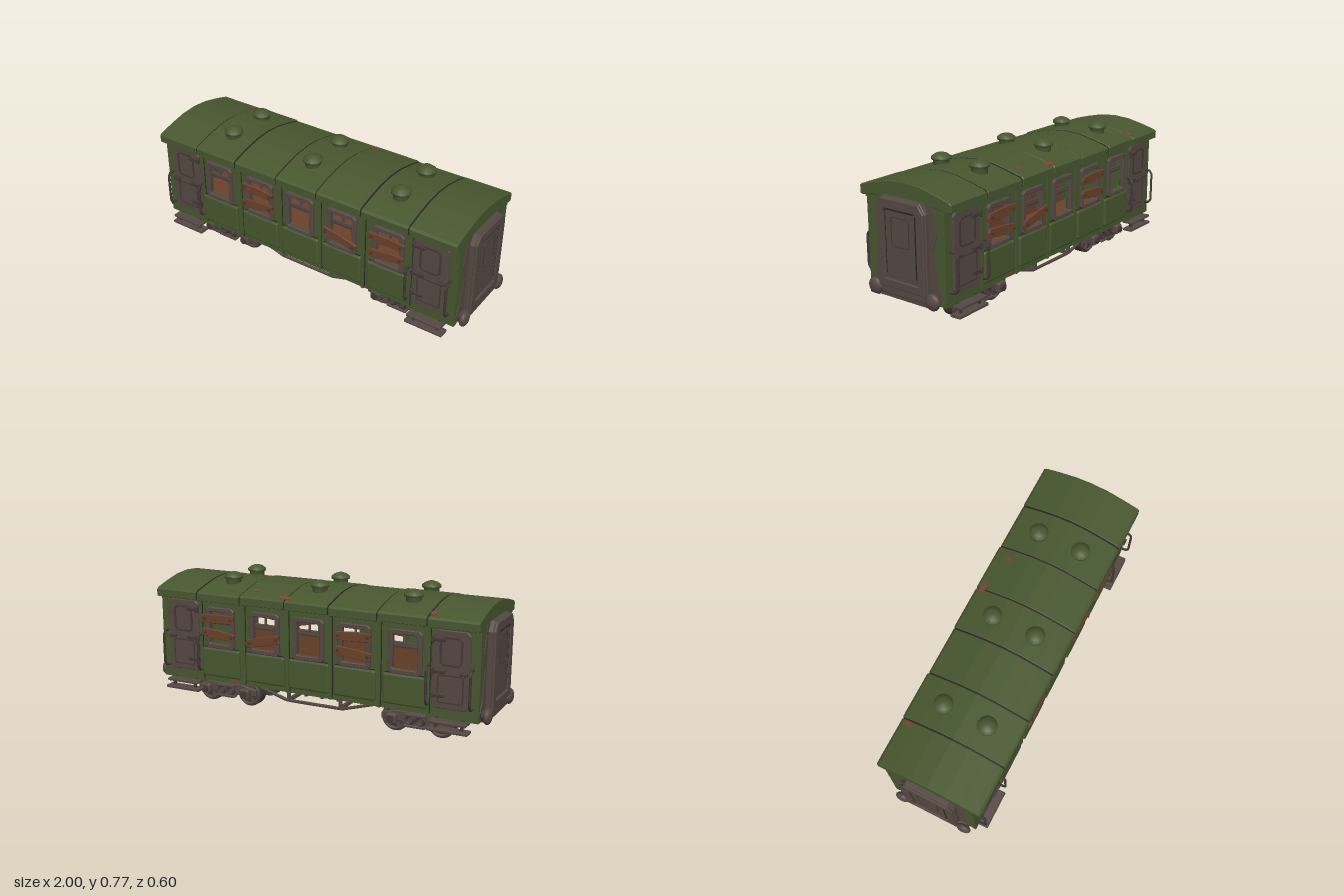
import * as THREE from 'three';
import { RoundedBoxGeometry } from 'three/addons/geometries/RoundedBoxGeometry.js';

const mat = (name, color) => {
  const m = new THREE.MeshStandardMaterial({ color });
  m.name = name;
  return m;
};

export function createModel() {
  const green = mat('green paint', 0x47572f);
  const iron = mat('brown iron', 0x554843);
  const dark = mat('dark iron', 0x433936);
  const ink = mat('dark seam', 0x27251d);
  const wood = mat('old wood', 0x6a4129);
  const rust = mat('rust', 0x7a4636);

  const add = (parent, name, geo, m, x = 0, y = 0, z = 0) => {
    const mesh = new THREE.Mesh(geo, m);
    mesh.name = name;
    mesh.position.set(x, y, z);
    parent.add(mesh);
    return mesh;
  };
  const box = (w, h, d) => new THREE.BoxGeometry(w, h, d);
  const round = (w, h, d, r = 0.008) => new RoundedBoxGeometry(w, h, d, 2, r);
  const cyl = (r, h, n = 12) => new THREE.CylinderGeometry(r, r, h, n).rotateX(Math.PI / 2);
  const tube = (pts, r) => {
    const path = new THREE.CurvePath();
    const v = pts.map(p => new THREE.Vector3(...p));
    for (let i = 1; i < v.length; i++) path.add(new THREE.LineCurve3(v[i - 1], v[i]));
    return new THREE.TubeGeometry(path, 24, r, 6);
  };
  const outline = pts => new THREE.Shape(pts.map(p => new THREE.Vector2(...p)));
  const slab = (shape, depth, bevel = 0) => new THREE.ExtrudeGeometry(shape, {
    depth, bevelEnabled: bevel > 0, bevelSize: bevel, bevelThickness: bevel, bevelSegments: 1, curveSegments: 6,
  });
  // rectangle with cut corners, c = corner size
  const rectPts = (cx, cy, w, h, c) => {
    const a = w / 2, b = h / 2;
    return [[-a + c, -b], [a - c, -b], [a, -b + c], [a, b - c], [a - c, b], [-a + c, b], [-a, b - c], [-a, -b + c]]
      .map(([x, y]) => [cx + x, cy + y]);
  };
  const frame = (w, h, t, c) => {
    const s = outline(rectPts(0, 0, w, h, c));
    s.holes.push(new THREE.Path(rectPts(0, 0, w - 2 * t, h - 2 * t, c * 0.5).map(p => new THREE.Vector2(...p))));
    return s;
  };

  const model = new THREE.Group();
  model.name = 'railwayCarriage';

  // Floor
  add(model, 'floor', box(1.88, 0.03, 0.48), green, 0, 0.172, 0);
  add(model, 'floorBoards', box(1.86, 0.006, 0.46), wood, 0, 0.191, 0);

  // Roof: seven arched segments with dark seams
  const arch = [[0, 0.73], [0.1, 0.722], [0.2, 0.7], [0.283, 0.677], [0.293, 0.668], [0.293, 0.634], [0.282, 0.63],
    [0.2, 0.642], [0.1, 0.648]];
  const roofShape = outline([...arch, ...arch.slice(1).reverse().map(([z, y]) => [-z, y])]);
  const cuts = [-0.955, -0.68, -0.41, -0.13, 0.13, 0.405, 0.685, 0.955];
  const wob = [0, 0.003, -0.002, 0.002, 0.003, -0.002, 0];
  for (let i = 0; i < 7; i++) {
    const len = cuts[i + 1] - cuts[i] - 0.006;
    const g = slab(roofShape, len - 0.008, 0.004).rotateY(Math.PI / 2);
    const seg = add(model, 'roofSegment', g, green, cuts[i] + 0.007, wob[i] - 0.003, 0);
    seg.scale.z = 0.985 + wob[i] * 2;
    if (i) {
      add(model, 'roofSeam', slab(roofShape, 0.008).rotateY(Math.PI / 2), ink, cuts[i] - 0.004, -0.001, 0).scale.z = 0.985;
    }
  }
  for (const [x, z, w, d] of [[0.14, -0.258, 0.08, 0.035], [0.34, -0.21, 0.03, 0.03], [-0.7, -0.245, 0.03, 0.05]]) {
    const p = add(model, 'roofRust', new THREE.CylinderGeometry(0.5, 0.5, 0.006, 7), rust, x, 0.7 - (-z - 0.2) * 0.27 + 0.002, z);
    p.scale.set(w, 1, d);
    p.rotation.x = -0.28;
  }

  // Roof vents
  const ventPts = [[0.042, 0.69], [0.042, 0.738], [0.052, 0.74], [0.053, 0.752], [0.034, 0.767], [0.014, 0.774], [0, 0.775]]
    .map(p => new THREE.Vector2(...p));
  for (const x of [-0.543, -0.003, 0.54]) {
    for (const z of [-0.126, 0.124]) add(model, 'roofVent', new THREE.LatheGeometry(ventPts, 14), green, x, 0, z);
  }

  // Long sides: windows as [x, boards as [y, tilt]]
  const windows = [[-0.555, []], [-0.27, [[0.527, -0.04], [0.437, 0.1]]], [0, []],
    [0.27, [[0.435, -0.22]]], [0.555, [[0.53, -0.03], [0.44, 0.1]]]];
  const plank = outline([[-0.105, -0.018], [-0.03, -0.023], [0.1, -0.021], [0.096, -0.004], [0.106, 0.018],
    [0.02, 0.023], [-0.1, 0.02], [-0.108, 0.002]]);
  for (const s of [1, -1]) {
    const side = new THREE.Group();
    side.name = s > 0 ? 'frontSide' : 'backSide';
    side.rotation.y = s > 0 ? 0 : Math.PI;
    model.add(side);

    const wall = outline([[-0.95, 0.15], [-0.68, 0.15], [-0.67, 0.16], [0.67, 0.16], [0.68, 0.15], [0.95, 0.15],
      [0.95, 0.65], [-0.95, 0.65]]);
    for (const [x] of windows) {
      wall.holes.push(new THREE.Path(rectPts(x * s, 0.475, 0.145, 0.195, 0.01).map(p => new THREE.Vector2(...p))));
    }
    add(side, 'sideWall', slab(wall, 0.02), green, 0, 0, 0.228);
    add(side, 'innerLining', box(1.38, 0.18, 0.006), wood, 0, 0.275, 0.226);
    add(side, 'topRail', box(1.9, 0.02, 0.012), green, 0, 0.628, 0.25);

    for (const [wx, boards] of windows) {
      const x = wx * s;
      add(side, 'windowFrame', slab(frame(0.18, 0.228, 0.019, 0.014), 0.022, 0.003), iron, x, 0.473, 0.24);
      add(side, 'windowBar', box(0.15, 0.013, 0.01), iron, x, 0.512, 0.24);
      add(side, 'windowBar', box(0.15, 0.006, 0.01), dark, x, 0.494, 0.238);
      add(side, 'windowBar', box(0.01, 0.06, 0.01), iron, x, 0.542, 0.238);
      add(side, 'lowerPanel', round(0.245, 0.165, 0.03, 0.012), green, x, 0.272, 0.25);
      add(side, 'panelShadowLine', box(0.23, 0.005, 0.004), ink, x, 0.357, 0.2485);
      for (const [y, tilt] of boards) {
        const b = add(side, 'board', slab(plank, 0.01, 0.002), wood, x, y, 0.27);
        b.rotation.z = tilt * s;
        for (const n of [-0.085, 0.085]) add(b, 'boardNail', cyl(0.009, 0.008, 6), dark, n, 0, 0.015);
      }
    }
    // Upright ribs between the bays
    for (const x of cuts.slice(1, 7)) {
      add(side, 'rib', box(0.016, 0.48, 0.012), green, x * s, 0.4, 0.251);
      add(side, 'ribSeam', box(0.005, 0.46, 0.003), ink, x * s + 0.01, 0.4, 0.248);
    }

    // Doors, handrails and steps
    for (const d of [1, -1]) {
      const x = 0.8 * d;
      add(side, 'sideDoor', slab(outline(rectPts(0, 0, 0.195, 0.4, 0.018)), 0.01, 0.003), iron, x, 0.41, 0.245);
      add(side, 'doorPaneFrame', slab(frame(0.12, 0.15, 0.01, 0.02), 0.006), dark, x, 0.505, 0.257);
      add(side, 'doorLowerFrame', slab(frame(0.14, 0.15, 0.007, 0.01), 0.003), dark, x, 0.31, 0.257);
      for (const y of [0.275, 0.4, 0.565]) {
        add(side, 'hinge', round(0.065, 0.02, 0.012, 0.004), dark, x - d * 0.062, y, 0.263);
        add(side, 'hingePin', round(0.016, 0.036, 0.016, 0.004), dark, x - d * 0.096, y, 0.263);
      }
      add(side, 'doorHandle', round(0.04, 0.016, 0.02, 0.004), dark, x + d * 0.07, 0.4, 0.268);
      for (const hx of [0.683, 0.915]) {
        add(side, 'handrail', tube([[hx * d, 0.425, 0.245], [hx * d, 0.425, 0.28], [hx * d, 0.405, 0.293],
          [hx * d, 0.245, 0.293], [hx * d, 0.225, 0.28], [hx * d, 0.22, 0.245]], 0.007), dark);
      }
      add(side, 'upperStep', round(0.2, 0.016, 0.072, 0.004), iron, x, 0.143, 0.26);
      add(side, 'lowerStep', round(0.22, 0.016, 0.06, 0.004), iron, x, 0.1, 0.266);
      for (const p of [-0.07, 0.07]) {
        add(side, 'stepPost', box(0.014, 0.04, 0.014), dark, x + p, 0.122, 0.266);
        add(side, 'stepBracket', box(0.014, 0.012, 0.1), dark, x + p, 0.152, 0.2);
      }
    }

    // Truss under the floor
    add(side, 'trussRod', tube([[-0.4, 0.16, 0.19], [-0.17, 0.093, 0.19], [0.17, 0.093, 0.19], [0.4, 0.16, 0.19]], 0.009), iron);
    for (const x of [-0.16, 0.16]) add(side, 'trussPost', box(0.016, 0.07, 0.016), iron, x, 0.126, 0.19);
  }
  add(model, 'wallRust', box(0.06, 0.025, 0.004), rust, 0.47, 0.182, -0.249);

  // Underfloor equipment
  add(model, 'equipmentBox', round(0.24, 0.06, 0.2), iron, 0, 0.132, 0);
  for (const x of [-0.1, 0, 0.1]) add(model, 'equipmentStrap', box(0.015, 0.064, 0.21), dark, x, 0.131, 0);
  for (const x of [-0.16, 0.16]) add(model, 'crossBeam', box(0.018, 0.018, 0.38), iron, x, 0.096, 0);

  // Carriage ends, built facing +z and turned outward
  for (const e of [1, -1]) {
    const end = new THREE.Group();
    end.name = e > 0 ? 'leftEnd' : 'rightEnd';
    end.rotation.y = e * Math.PI / 2;
    model.add(end);
    add(end, 'endWall', box(0.496, 0.5, 0.02), green, 0, 0.4, 0.938);
    const edge = [[0.2, 0.16], [0.235, 0.2], [0.2, 0.26], [0.19, 0.33], [0.175, 0.42], [0.2, 0.5], [0.18, 0.58], [0.17, 0.645]];
    add(end, 'wornEndPaint', slab(outline([...edge, ...edge.slice().reverse().map(([x, y]) => [-x, y])]), 0.004), iron, 0, 0, 0.948);
    const surround = (a, top, c, bottom) => outline([[-a, bottom], [a, bottom], [a, top - c], [a - c * 0.7, top], [-a + c * 0.7, top], [-a, top - c]]);
    add(end, 'gangwayPlate', slab(surround(0.148, 0.645, 0.045, 0.2), 0.022, 0.006), iron, 0, 0, 0.95);
    const rim = surround(0.148, 0.642, 0.04, 0.2);
    rim.holes.push(new THREE.Path(surround(0.108, 0.6, 0.02, 0.235).getPoints()));
    add(end, 'gangwayRim', slab(rim, 0.008, 0.004), iron, 0, 0, 0.98);
    add(end, 'endDoor', slab(outline(rectPts(0, 0.425, 0.185, 0.33, 0.004)), 0.006, 0.002), iron, 0, 0, 0.978);
    add(end, 'endDoorLine', box(0.19, 0.005, 0.004), ink, 0, 0.592, 0.986);
    for (const x of [-0.095, 0.095]) add(end, 'endDoorLine', box(0.004, 0.32, 0.004), ink, x, 0.43, 0.984);
    add(end, 'endDoorPane', slab(frame(0.118, 0.15, 0.005, 0.014), 0.004), dark, 0, 0.487, 0.985);
    // Buffers and beam
    add(end, 'bufferBeam', round(0.4, 0.055, 0.035, 0.01), iron, 0, 0.175, 0.955);
    add(end, 'headstock', box(0.34, 0.02, 0.1), iron, 0, 0.145, 0.92);
    for (const x of [-0.187, 0.187]) {
      add(end, 'bufferStem', cyl(0.025, 0.04), dark, x, 0.177, 0.96);
      const head = add(end, 'bufferHead', new THREE.SphereGeometry(0.043, 16, 10), iron, x, 0.177, 0.977);
      head.scale.z = 0.53;
    }
  }

  // Bogies
  const spring = new THREE.TorusGeometry(0.022, 0.008, 6, 12);
  for (const b of [-0.584, 0.58]) {
    const bogie = new THREE.Group();
    bogie.name = 'bogie';
    bogie.position.x = b;
    model.add(bogie);
    add(bogie, 'bolster', box(0.12, 0.05, 0.3), dark, 0, 0.13, 0);
    add(bogie, 'bogiePlate', box(0.42, 0.016, 0.32), iron, 0, 0.15, 0);
    add(bogie, 'centreBeam', box(0.3, 0.03, 0.08), dark, 0, 0.09, 0);
    for (const z of [-1, 1]) {
      add(bogie, 'sideFrame', slab(outline([[-0.19, 0.075], [-0.08, 0.075], [-0.05, 0.055], [0.05, 0.055], [0.08, 0.075], [0.19, 0.075],
        [0.19, 0.105], [0.1, 0.125], [-0.1, 0.125], [-0.19, 0.105]]), 0.016, 0.003), iron, 0, 0, z * 0.158 - 0.008);
      for (const x of [-0.03, 0.03]) add(bogie, 'spring', spring, dark, x, 0.088, z * 0.175);
      add(bogie, 'springCap', round(0.12, 0.016, 0.035, 0.004), iron, 0, 0.118, z * 0.174);
      add(bogie, 'springSeat', round(0.12, 0.014, 0.035, 0.004), iron, 0, 0.057, z * 0.174);
    }
    for (const x of [-0.13, 0.13]) {
      add(bogie, 'axle', cyl(0.02, 0.3), dark, x, 0.076, 0);
      for (const z of [-1, 1]) {
        add(bogie, 'wheel', cyl(0.076, 0.055, 24), dark, x, 0.076, z * 0.104);
        add(bogie, 'wheelRim', new THREE.TorusGeometry(0.062, 0.009, 6, 24), iron, x, 0.076, z * 0.134);
        for (let k = 0; k < 3; k++) {
          add(bogie, 'spoke', box(0.12, 0.012, 0.012), iron, x, 0.076, z * 0.134).rotation.z = k * Math.PI / 3;
        }
        add(bogie, 'axleBox', round(0.06, 0.055, 0.05, 0.01), iron, x, 0.085, z * 0.173);
        add(bogie, 'axleCap', cyl(0.02, 0.012), dark, x, 0.085, z * 0.2);
      }
    }
  }
  return model;
}
